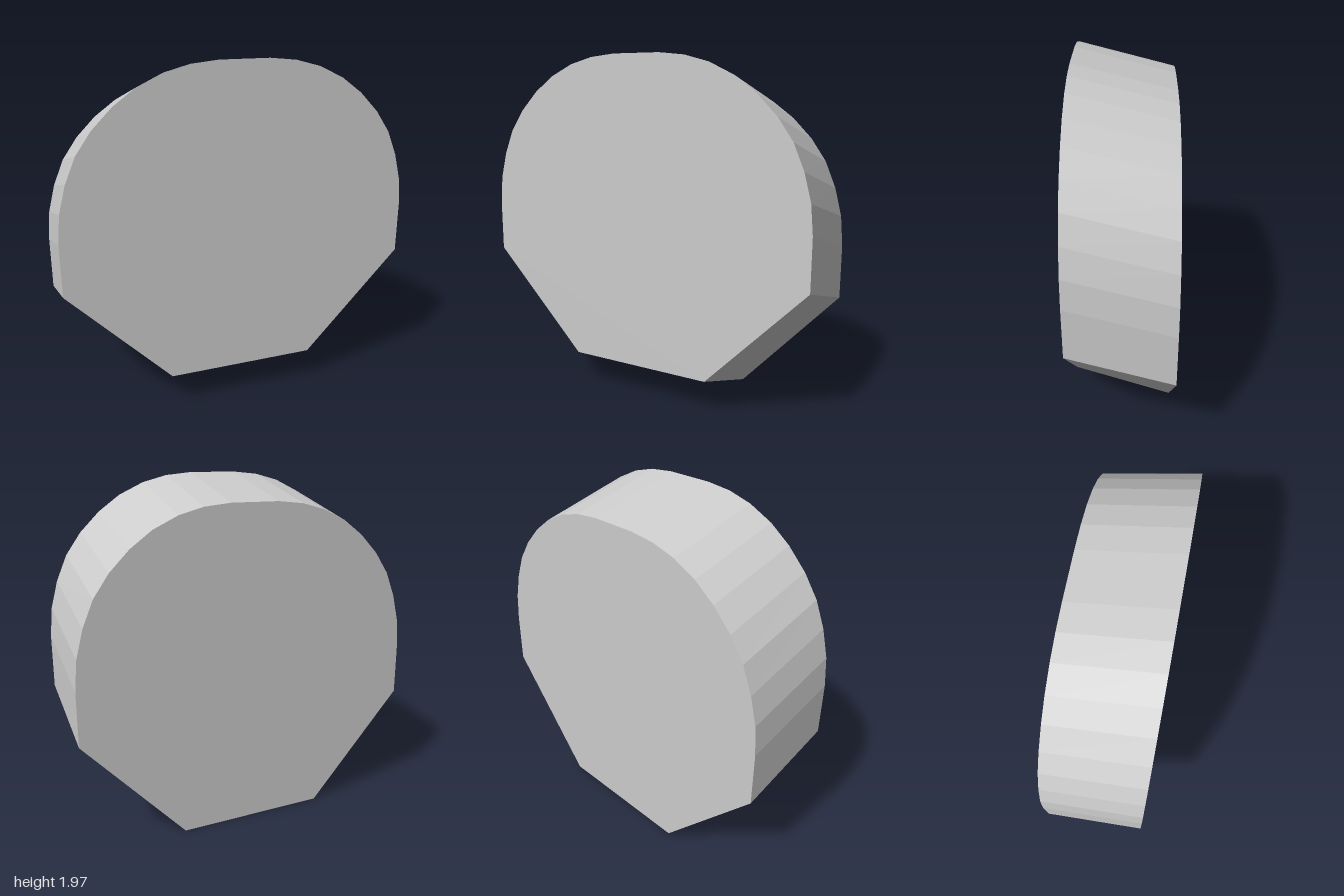
import * as THREE from 'three';

const DEPTH = 0.55;

// Right half of the front outline, from the flat bottom up to the crown.
const HALF = [
  [0.428, 0.2], [1, 0.79], [1, 1.08], [0.985, 1.24], [0.945, 1.39], [0.885, 1.53],
  [0.8, 1.65], [0.69, 1.76], [0.57, 1.847], [0.43, 1.913], [0.29, 1.95], [0.14, 1.965],
];

export function createModel() {
  const group = new THREE.Group();

  // Mirrored outline: rounded top, straight flanks, chamfered base.
  const right = HALF.map(([x, y]) => new THREE.Vector2(x, y));
  const left = HALF.map(([x, y]) => new THREE.Vector2(-x, y)).reverse();
  const shape = new THREE.Shape([...right, ...left]);

  const geometry = new THREE.ExtrudeGeometry(shape, { depth: DEPTH, steps: 1, bevelEnabled: false });
  geometry.translate(0, 0, -DEPTH / 2);

  // Lower the back face, a little more at the base than at the crown.
  const pos = geometry.attributes.position;
  for (let i = 0; i < pos.count; i++) {
    if (pos.getZ(i) > 0) continue;
    const y = pos.getY(i);
    const t = (y - 0.2) / 1.765;
    pos.setY(i, y - 0.2 + 0.06 * (2 * t - t * t));
  }
  geometry.computeVertexNormals();

  const body = new THREE.Mesh(
    geometry,
    new THREE.MeshStandardMaterial({ color: 0xcccccc, flatShading: true }),
  );
  body.name = 'slantedBlock';
  group.add(body);
  return group;
}
